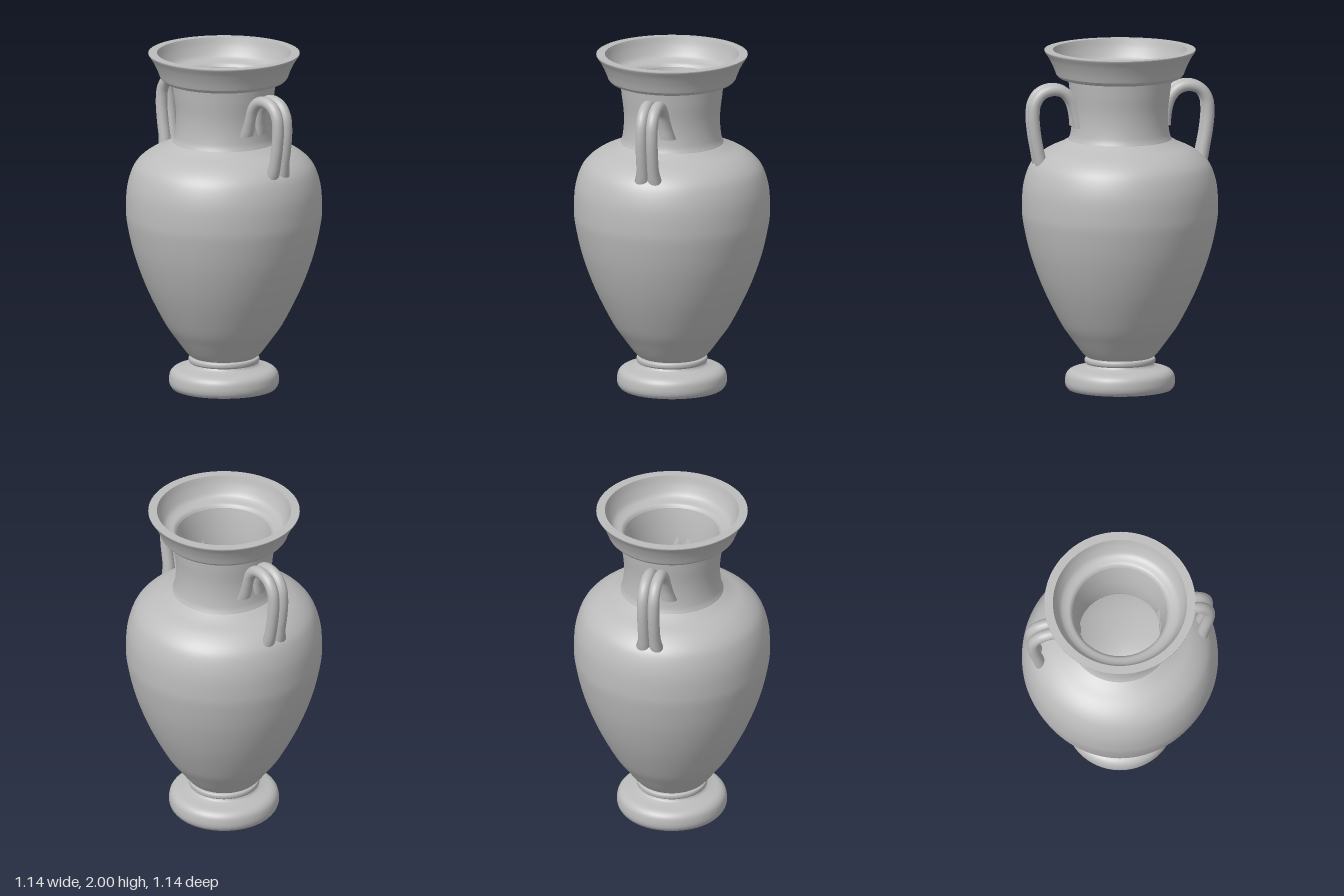
import * as THREE from 'three';

// Smooth curve through profile points [radius, height], spun about y.
// Outer walls run upward, inner walls run downward.
function turned(name, points, material, steps = 40) {
  const curve = new THREE.SplineCurve(points.map(([r, y]) => new THREE.Vector2(r, y)));
  const profile = curve.getPoints(steps);
  profile.forEach((p) => { p.x = Math.max(p.x, 0); });
  const mesh = new THREE.Mesh(new THREE.LatheGeometry(profile, 96), material);
  mesh.name = name;
  return mesh;
}

// One handle: two round strands side by side, spreading where they join the vase.
function handle(name, side, material) {
  const group = new THREE.Group();
  group.name = name;
  const path = new THREE.CatmullRomCurve3([
    [0.255, 1.56], [0.268, 1.64], [0.295, 1.715], [0.345, 1.765], [0.41, 1.778], [0.475, 1.755],
    [0.513, 1.7], [0.522, 1.62], [0.513, 1.52], [0.497, 1.43], [0.48, 1.35], [0.455, 1.28],
  ].map(([x, y]) => new THREE.Vector3(x * side, y, 0)));
  const rows = 72, sides = 20;
  for (const z of [-0.032, 0.032]) {
    const geometry = new THREE.TubeGeometry(path, rows, 0.034, sides, false);
    const pos = geometry.attributes.position;
    for (let i = 0; i < pos.count; i++) {
      const t = Math.floor(i / (sides + 1)) / rows;
      const flare = 0.6 * Math.max(0, 1 - t / 0.2) ** 2 + 0.9 * Math.max(0, (t - 0.8) / 0.2) ** 2;
      pos.setZ(i, (pos.getZ(i) + z) * (1 + flare));
    }
    const strand = new THREE.Mesh(geometry, material);
    strand.name = 'handleStrand';
    group.add(strand);
  }
  return group;
}

export function createModel() {
  const clay = new THREE.MeshStandardMaterial({ color: 0xbcbcbc });
  clay.name = 'grey clay';
  const vase = new THREE.Group();
  vase.name = 'vase';

  vase.add(
    // Hollow underside, from the centre out to the standing ring
    turned('footHollow', [[0, 0.13], [0.04, 0.125], [0.08, 0.1], [0.13, 0.075], [0.2, 0.065],
      [0.24, 0.045], [0.26, 0.004]].map(([r, y]) => [r, y]), clay),
    turned('footRing', [[0.26, 0.004], [0.28, 0], [0.302, 0.004]], clay, 6),
    // Rounded foot
    turned('foot', [[0.302, 0.004], [0.316, 0.025], [0.32, 0.055], [0.312, 0.095], [0.285, 0.12],
      [0.235, 0.132], [0.205, 0.142], [0.195, 0.155]], clay),
    // Collar between foot and body
    turned('collar', [[0.193, 0.153], [0.204, 0.162], [0.206, 0.178], [0.2, 0.189], [0.18, 0.192]], clay, 16),
    // Body
    turned('body', [[0.18, 0.188], [0.212, 0.21], [0.28, 0.3], [0.348, 0.4], [0.448, 0.6], [0.521, 0.8],
      [0.562, 0.98], [0.57, 1.08], [0.563, 1.2], [0.535, 1.3], [0.495, 1.36], [0.43, 1.41],
      [0.35, 1.447], [0.3, 1.475]], clay, 80),
    // Neck
    turned('neck', [[0.3, 1.475], [0.288, 1.51], [0.28, 1.58], [0.281, 1.66], [0.293, 1.76], [0.302, 1.84]], clay),
    // Flared rim
    turned('rimUnderside', [[0.298, 1.832], [0.325, 1.833], [0.355, 1.84], [0.372, 1.858]], clay, 14),
    turned('rim', [[0.372, 1.858], [0.39, 1.905], [0.415, 1.955], [0.438, 1.99], [0.44, 2]], clay, 20),
    turned('lip', [[0.44, 2], [0.415, 2], [0.39, 2]], clay, 4),
    // Inside of the rim, with its ledge
    turned('rimInside', [[0.39, 2], [0.375, 1.95], [0.35, 1.9], [0.325, 1.88], [0.29, 1.868], [0.275, 1.85]], clay),
    // Inside of neck and body, down to the floor
    turned('interior', [[0.275, 1.85], [0.258, 1.77], [0.242, 1.66], [0.238, 1.56], [0.25, 1.47], [0.33, 1.405],
      [0.45, 1.33], [0.515, 1.2], [0.525, 1.08], [0.48, 0.8], [0.405, 0.6], [0.3, 0.42], [0.18, 0.31],
      [0.08, 0.275], [0, 0.27]], clay, 90),
    handle('leftHandle', 1, clay),
    handle('rightHandle', -1, clay),
  );
  return vase;
}
